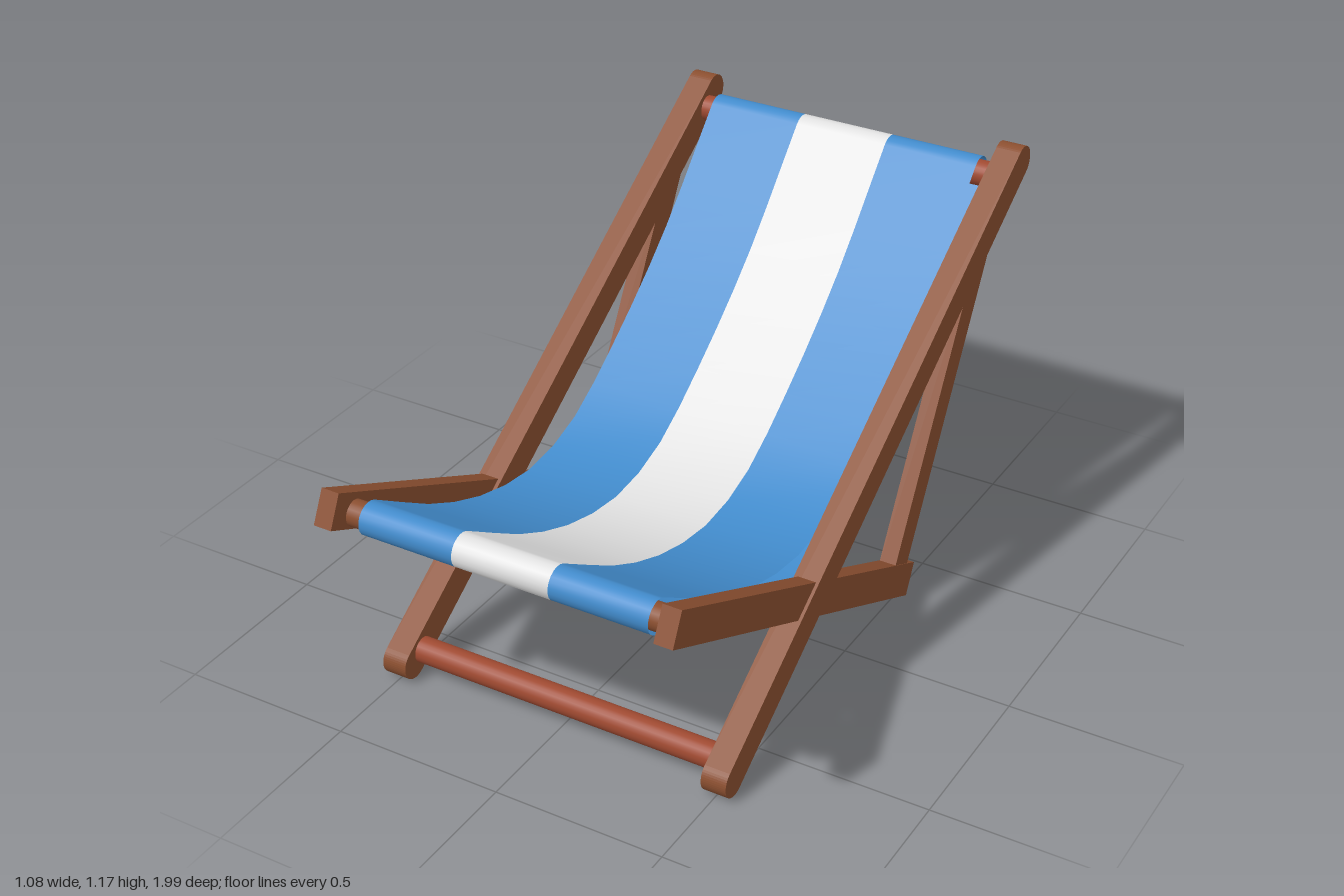
import * as THREE from 'three';

const mat = (name, color, side = THREE.FrontSide) => {
  const m = new THREE.MeshStandardMaterial({ color, side });
  m.name = name;
  return m;
};

// Profiles are written as [z, y] pairs in the side plane.
const DOWEL_R = 0.0375;
const FABRIC_R = 0.048;
const HALF_WIDTH = 0.43;

export function createModel() {
  const group = new THREE.Group();
  const wood = mat('brown wood', 0x8b4f30);
  const dowelWood = mat('red wood', 0xa04a31);
  const blue = mat('blue canvas', 0x428ccd, THREE.DoubleSide);
  const white = mat('white canvas', 0xe2e2e2, THREE.DoubleSide);

  const add = (name, geometry, material) => {
    const mesh = new THREE.Mesh(geometry, material);
    mesh.name = name;
    group.add(mesh);
    return mesh;
  };

  // A bar lying in the side plane, running between two [z, y] points.
  const bar = (name, x, width, height, a, b, rounded) => {
    const dz = b[0] - a[0], dy = b[1] - a[1];
    const length = Math.hypot(dz, dy);
    let geo;
    if (rounded) {
      const r = height / 2, h = length / 2;
      const s = new THREE.Shape();
      s.moveTo(-h, -r);
      s.lineTo(h, -r);
      s.absarc(h, 0, r, -Math.PI / 2, Math.PI / 2, false);
      s.lineTo(-h, r);
      s.absarc(-h, 0, r, Math.PI / 2, Math.PI * 1.5, false);
      geo = new THREE.ExtrudeGeometry(s, { depth: width, bevelEnabled: false, curveSegments: 12 });
      geo.translate(0, 0, -width / 2).rotateY(-Math.PI / 2);
    } else {
      geo = new THREE.BoxGeometry(width, height, length);
    }
    const mesh = add(name, geo, wood);
    mesh.position.set(x, (a[1] + b[1]) / 2, (a[0] + b[0]) / 2);
    mesh.rotation.x = -Math.atan2(dy, dz);
  };

  // Side frames: long back rail, short seat rail and prop strut
  for (const [side, s] of [['left', 1], ['right', -1]]) {
    bar(side + 'BackRail', s * 0.503, 0.074, 0.096, [-0.95, 1.13], [0.70, 0.053], true);
    bar(side + 'SeatRail', s * 0.504, 0.054, 0.1, [-0.347, 0.053], [0.972, 0.697], false);
    bar(side + 'PropStrut', s * 0.504, 0.05, 0.085, [-0.265, 0.10], [-0.765, 1.014], false);
  }

  // Cross dowels
  const frontPin = [0.893, 0.652], backPin = [-0.902, 1.092];
  const dowel = (name, [z, y], material) => {
    const geo = new THREE.CylinderGeometry(DOWEL_R, DOWEL_R, 0.98, 24).rotateZ(Math.PI / 2);
    add(name, geo, material).position.set(0, y, z);
  };
  dowel('footDowel', [0.662, 0.075], dowelWood);
  dowel('topDowel', backPin, dowelWood);
  dowel('seatDowel', frontPin, wood);

  // Sling: a canvas loop running over both dowels and sagging between them
  const sag = new THREE.CatmullRomCurve3(
    [frontPin, [0.6, 0.475], [0.35, 0.38], [0.13, 0.353], [-0.08, 0.4], [-0.3, 0.535], [-0.6, 0.775], backPin]
      .map(([z, y]) => new THREE.Vector3(0, y, z))
  );
  const upper = [], lower = [], backWrap = [], frontWrap = [];
  const N = 16, ARC = 10;
  const frame = (u) => {
    const p = sag.getPointAt(u), t = sag.getTangentAt(u);
    return { p, t, n: new THREE.Vector3(0, -t.z, t.y) };
  };
  const offset = ({ p, t, n }, cn, ct) =>
    p.clone().addScaledVector(n, cn * FABRIC_R).addScaledVector(t, ct * FABRIC_R);
  for (let i = 0; i <= N; i++) {
    const f = frame(i / N);
    upper.push(offset(f, 1, 0));
    lower.unshift(offset(f, -1, 0));
  }
  for (let i = 1; i < ARC; i++) {
    const a = (i / ARC) * Math.PI;
    backWrap.push(offset(frame(1), Math.cos(a), Math.sin(a)));
    frontWrap.push(offset(frame(0), -Math.cos(a), -Math.sin(a)));
  }
  const loop = [...upper, ...backWrap, ...lower, ...frontWrap];

  const strip = (name, x0, x1, material) => {
    const pos = [], idx = [];
    loop.forEach((p, i) => {
      pos.push(x0, p.y, p.z, x1, p.y, p.z);
      const a = 2 * i, b = 2 * ((i + 1) % loop.length);
      idx.push(a, a + 1, b + 1, a, b + 1, b);
    });
    const geo = new THREE.BufferGeometry();
    geo.setAttribute('position', new THREE.Float32BufferAttribute(pos, 3));
    geo.setIndex(idx);
    geo.computeVertexNormals();
    add(name, geo, material);
  };
  const stripe = HALF_WIDTH / 3;
  strip('rightCanvasStripe', -HALF_WIDTH, -stripe, blue);
  strip('middleCanvasStripe', -stripe, stripe, white);
  strip('leftCanvasStripe', stripe, HALF_WIDTH, blue);

  return group;
}
